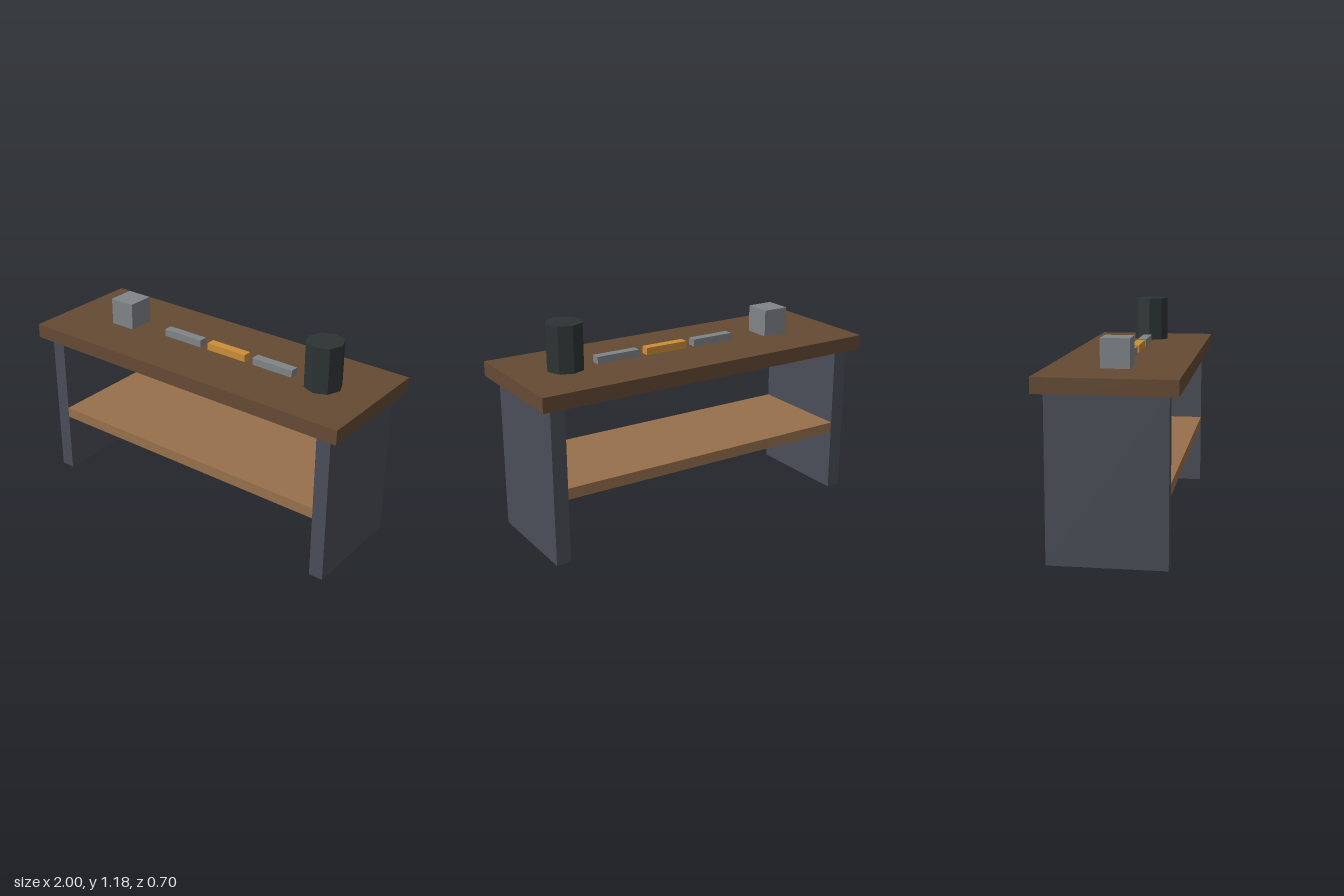
import * as THREE from 'three';

const mat = (name, color) => {
  const m = new THREE.MeshStandardMaterial({ color, flatShading: true });
  m.name = name;
  return m;
};

export function createModel() {
  const group = new THREE.Group();
  group.name = 'workbench';

  const darkWood = mat('darkWood', 0x654a34);
  const lightWood = mat('lightWood', 0x98704c);
  const slate = mat('slate', 0x4a4e57);
  const steel = mat('steel', 0x808488);
  const amber = mat('amber', 0xcc8e38);
  const charcoal = mat('charcoal', 0x2d3434);

  const add = (name, geometry, material, x, bottom, height) => {
    const mesh = new THREE.Mesh(geometry, material);
    mesh.name = name;
    mesh.position.set(x, bottom + height / 2, 0);
    group.add(mesh);
  };
  const box = (name, material, x, bottom, w, h, d) =>
    add(name, new THREE.BoxGeometry(w, h, d), material, x, bottom, h);

  // Bench: panel legs, shelf between them, overhanging top
  box('leftLeg', slate, 0.9, 0, 0.08, 0.85, 0.6);
  box('rightLeg', slate, -0.9, 0, 0.08, 0.85, 0.6);
  box('shelf', lightWood, 0, 0.35, 1.72, 0.06, 0.6);
  box('benchTop', darkWood, 0, 0.85, 2, 0.08, 0.7);

  // Items lying on the top
  const top = 0.93;
  box('block', steel, -0.6, top, 0.15, 0.15, 0.15);
  [steel, amber, steel].forEach((material, i) =>
    box(`bar${i + 1}`, material, -0.2 + i * 0.3, top, 0.25, 0.04, 0.05));

  // Eight-sided canister
  add('canister', new THREE.CylinderGeometry(0.1, 0.1, 0.25, 8), charcoal, 0.7, top, 0.25);

  return group;
}
